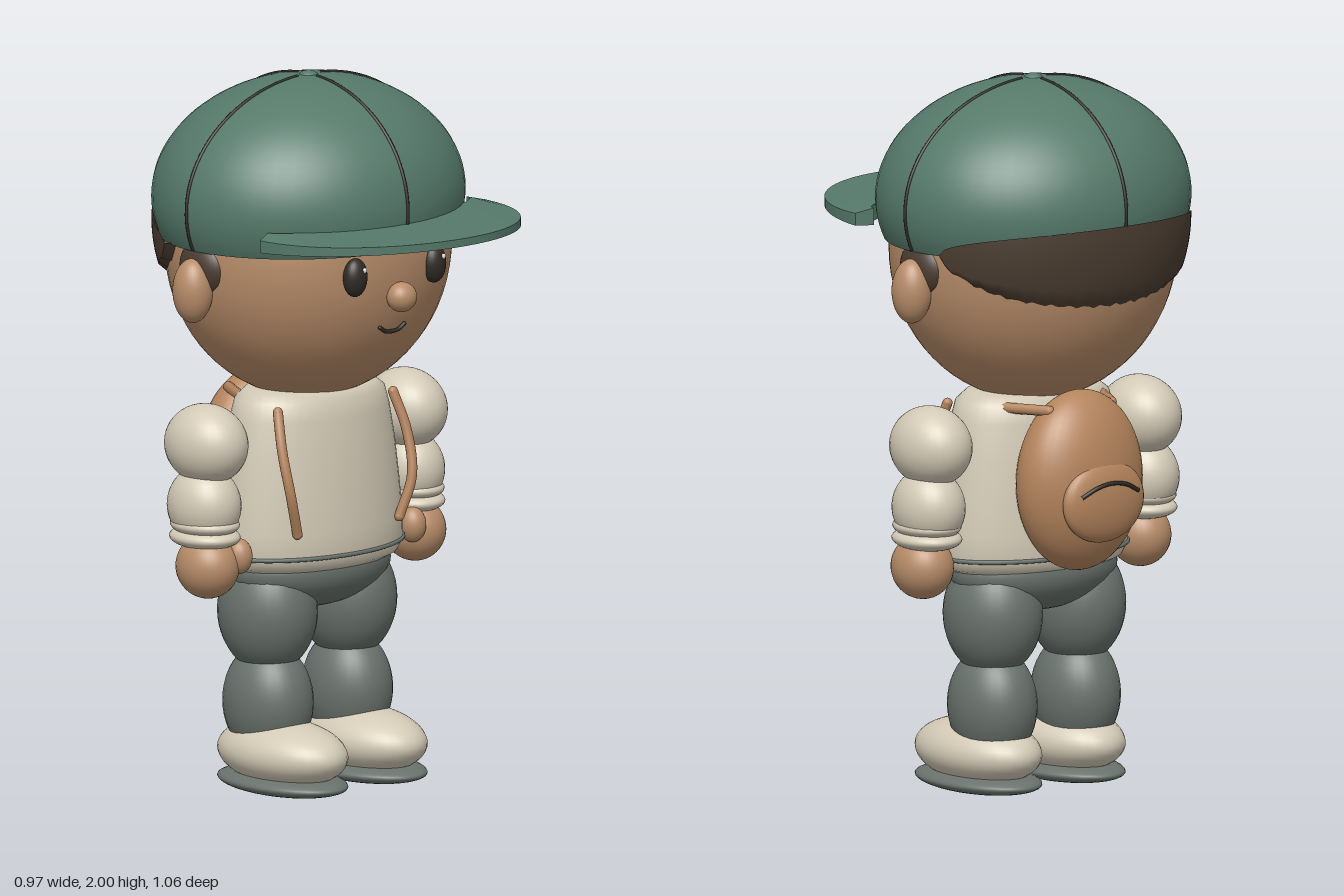
import * as THREE from 'three';

const mat = (name, color, side = THREE.FrontSide) => {
  const m = new THREE.MeshStandardMaterial({ color, side });
  m.name = name;
  return m;
};
const V = (x, y, z) => new THREE.Vector3(x, y, z);

export function createModel() {
  const group = new THREE.Group();
  const green = mat('capGreen', 0x55796a, THREE.DoubleSide);
  const skin = mat('skin', 0xb78c69);
  const hair = mat('hairBrown', 0x4b3d31, THREE.DoubleSide);
  const dark = mat('darkLine', 0x302b26);
  const cream = mat('cream', 0xd3cab6);
  const grey = mat('trouserGrey', 0x69726d);
  const tan = mat('bagTan', 0xb5855d);
  const white = mat('eyeGlint', 0xf2efe8);

  const add = (name, geo, material) => {
    const m = new THREE.Mesh(geo, material);
    m.name = name;
    group.add(m);
    return m;
  };
  // Ellipsoid from centre and radii
  const ball = (name, material, c, r, seg = 32) => {
    const m = add(name, new THREE.SphereGeometry(1, seg, Math.round(seg * 0.75)), material);
    m.position.set(...c);
    m.scale.set(...r);
    return m;
  };
  const tube = (name, material, pts, r, closed = false) =>
    add(name, new THREE.TubeGeometry(new THREE.CatmullRomCurve3(pts, closed), 40, r, 8, closed), material);
  // Rounded tube ends
  const capped = (name, material, pts, r) => {
    tube(name, material, pts, r);
    for (const p of [pts[0], pts[pts.length - 1]]) ball(name + 'End', material, p.toArray(), [r, r, r], 10);
  };

  const Z = -0.125; // body axis

  // Head and face
  ball('head', skin, [0, 1.52, Z], [0.415, 0.43, 0.372], 48);
  ball('nose', skin, [0, 1.42, 0.255], [0.044, 0.042, 0.04], 24);
  capped('mouth', dark, [V(-0.045, 1.333, 0.216), V(-0.022, 1.32, 0.215), V(0.022, 1.32, 0.215), V(0.045, 1.333, 0.216)], 0.006);

  // Cap dome, seams and button
  const capY = 1.66, R = [0.455, 0.33, 0.405];
  const dome = add('capDome', new THREE.SphereGeometry(1, 48, 28, 0, Math.PI * 2, 0, 1.911), green);
  dome.position.set(0, capY, Z);
  dome.scale.set(...R);
  for (let k = 0; k < 4; k++) {
    const a = k * Math.PI / 2, pts = [];
    for (let i = 0; i <= 20; i++) {
      const t = 0.09 + i / 20 * 1.81;
      pts.push(V(R[0] * Math.sin(t) * Math.cos(a), capY + R[1] * Math.cos(t), Z + R[2] * Math.sin(t) * Math.sin(a)));
    }
    tube('capSeam', dark, pts, 0.005);
  }
  ball('capButton', green, [0, 1.982, Z], [0.028, 0.018, 0.028], 20);

  // Brim: crescent cross-sections swept from one side to the other
  {
    const n = 48, pos = [], idx = [];
    for (let i = 0; i <= n; i++) {
      const a = Math.PI * i / n, c = Math.cos(a), s = Math.sin(a);
      const ox = 0.42 * c, oz = 0.135 + 0.395 * s, ix = 0.37 * c, iz = 0.115 + 0.1 * s;
      const top = z => 1.628 - 0.01 * c * c * (z > 0.1 ? 1 : 0);
      const bottom = z => 1.606 - 0.024 * (1 - (z - 0.115) / 0.415);
      pos.push(ox, top(oz), oz, ox, bottom(oz), oz, ix, bottom(iz), iz, ix, top(iz) + 0.012 * c * c, iz);
    }
    // Split corners so the thin rim stays crisp
    const flat = [];
    const corner = (i, j) => flat.push(...pos.slice((i * 4 + j) * 3, (i * 4 + j) * 3 + 3));
    for (let j = 0; j < 4; j++) {
      const base = flat.length / 3;
      for (let i = 0; i <= n; i++) { corner(i, j); corner(i, (j + 1) % 4); }
      for (let i = 0; i < n; i++) {
        const p = base + i * 2;
        idx.push(p, p + 1, p + 2, p + 1, p + 3, p + 2);
      }
    }
    for (const i of [0, n]) {
      const b = flat.length / 3;
      for (let j = 0; j < 4; j++) corner(i, j);
      if (i) idx.push(b, b + 1, b + 2, b, b + 2, b + 3);
      else idx.push(b, b + 2, b + 1, b, b + 3, b + 2);
    }
    const g = new THREE.BufferGeometry();
    g.setAttribute('position', new THREE.Float32BufferAttribute(flat, 3));
    g.setIndex(idx);
    // Orient the strips outwards
    for (let k = 0; k < n * 4 * 6; k += 3) [idx[k + 1], idx[k + 2]] = [idx[k + 2], idx[k + 1]];
    g.setIndex(idx);
    g.computeVertexNormals();
    add('capBrim', g, green);
  }

  // Hair: wedge-shaped band round the back of the head
  {
    const n = 56, rows = 8, pos = [], idx = [], m = 1.28;
    for (let i = 0; i <= n; i++) {
      const a = -m + 2 * m * i / n;
      const f = Math.sqrt(Math.max(0, (Math.cos(a) - Math.cos(m)) / (1 - Math.cos(m))));
      const y0 = 1.555 - 0.158 * f + 0.004 * Math.sin(i * 2.3), y1 = 1.556 + 0.074 * f;
      for (let j = 0; j <= rows; j++) {
        const y = y0 + (y1 - y0) * j / rows;
        const h = Math.sqrt(1 - ((y - 1.6) / 0.45) ** 2), e = Math.sqrt(1 - ((y - 1.52) / 0.43) ** 2);
        const rx = j ? 0.452 * h : 0.41 * e, rz = j ? 0.408 * h : 0.368 * e;
        pos.push(rx * Math.sin(a), y, Z - rz * Math.cos(a));
        if (i < n && j < rows) {
          const p = i * (rows + 1) + j, q = p + rows + 1;
          idx.push(p, p + 1, q, p + 1, q + 1, q);
        }
      }
    }
    const g = new THREE.BufferGeometry();
    g.setAttribute('position', new THREE.Float32BufferAttribute(pos, 3));
    g.setIndex(idx);
    g.computeVertexNormals();
    add('backHair', g, hair);
  }

  // Shirt with hem seam
  const profile = [[0, 0.62], [0.25, 0.625], [0.285, 0.64], [0.302, 0.67], [0.3, 0.74], [0.29, 0.84],
    [0.276, 0.95], [0.258, 1.05], [0.243, 1.1], [0.21, 1.125], [0, 1.14]].map(p => new THREE.Vector2(...p));
  const shirt = add('shirt', new THREE.LatheGeometry(profile, 48), cream);
  shirt.position.z = -0.12;
  shirt.scale.z = 0.63;
  const hem = [];
  for (let i = 0; i < 32; i++) {
    const a = i / 32 * Math.PI * 2;
    hem.push(V(0.303 * Math.cos(a), 0.672, -0.12 + 0.191 * Math.sin(a)));
  }
  tube('shirtHem', grey, hem, 0.006, true);
  ball('pelvis', grey, [0, 0.62, -0.125], [0.265, 0.12, 0.172]);

  // Mirrored parts
  for (const s of [-1, 1]) {
    ball('eye', dark, [s * 0.147, 1.49, 0.226], [0.037, 0.054, 0.03], 24);
    ball('eyeGlint', white, [s * 0.147 + 0.012, 1.512, 0.252], [0.007, 0.008, 0.005], 12);
    ball('sideburn', hair, [s * 0.385, 1.5, Z], [0.052, 0.08, 0.088]);
    ball('ear', skin, [s * 0.432, 1.44, Z], [0.054, 0.09, 0.058]);

    ball('upperArm', cream, [s * 0.372, 1.0, -0.135], [0.104, 0.112, 0.13]);
    ball('forearm', cream, [s * 0.38, 0.83, -0.135], [0.095, 0.11, 0.112]);
    for (const [y, r] of [[0.778, 0.088], [0.743, 0.09]])
      ball('cuff', cream, [s * 0.382, y, -0.13], [r, 0.033, r * 1.2]);
    ball('hand', skin, [s * 0.386, 0.662, -0.115], [0.083, 0.09, 0.094]);
    ball('thumb', skin, [s * 0.324, 0.69, -0.055], [0.037, 0.05, 0.04], 20);

    ball('thigh', grey, [s * 0.148, 0.505, -0.13], [0.132, 0.175, 0.147]);
    ball('shin', grey, [s * 0.148, 0.25, -0.128], [0.116, 0.165, 0.137]);
    ball('shoe', cream, [s * 0.148, 0.115, -0.068], [0.137, 0.092, 0.222]);
    ball('sole', grey, [s * 0.148, 0.034, -0.068], [0.137, 0.034, 0.222]);

    // Backpack straps
    capped('frontStrap', tan, [V(s * 0.215, 1.085, -0.015), V(s * 0.232, 0.98, 0.022),
      V(s * 0.226, 0.86, 0.05), V(s * 0.19, 0.745, 0.038)], 0.014);
    capped('shoulderStrap', tan, [V(s * 0.2, 1.095, -0.16), V(s * 0.11, 1.095, -0.33)], 0.015);
  }

  // Backpack with pocket and zip
  ball('backpack', tan, [0, 0.89, -0.325], [0.2, 0.252, 0.128], 40);
  ball('backpackPocket', tan, [0, 0.845, -0.43], [0.14, 0.115, 0.042]);
  tube('pocketZip', dark, [V(-0.1, 0.868, -0.459), V(-0.05, 0.892, -0.468), V(0, 0.9, -0.47),
    V(0.05, 0.892, -0.468), V(0.1, 0.868, -0.459)], 0.006);

  return group;
}
